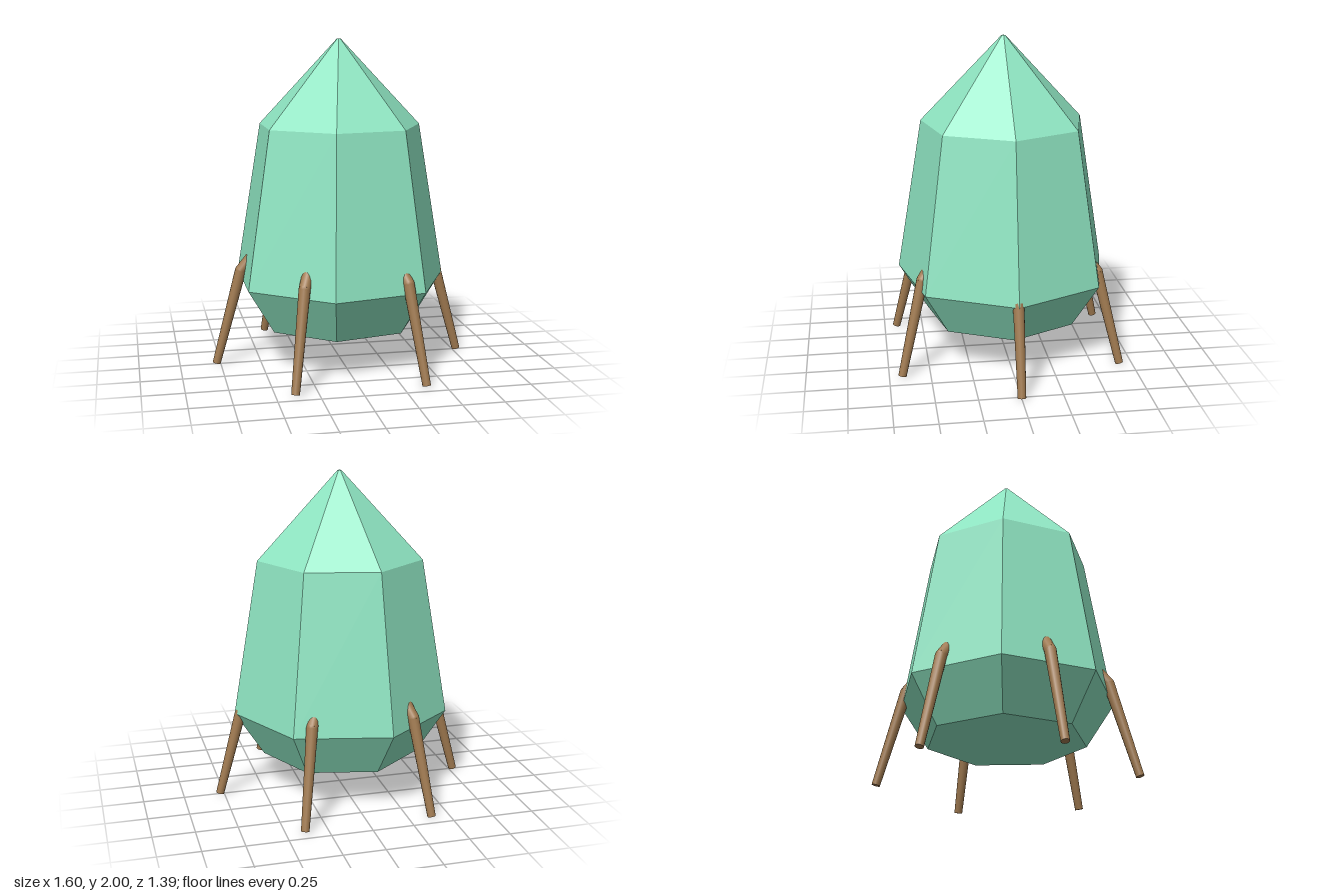
import * as THREE from 'three';

const mint = new THREE.MeshStandardMaterial({ color: 0x8ee4c1, flatShading: true });
const wood = new THREE.MeshStandardMaterial({ color: 0xa07a50 });

// Seven-sided frustum with a corner on +x
function frustum(name, y0, r0, y1, r1, open) {
  const geo = new THREE.CylinderGeometry(r1, r0, y1 - y0, 7, 1, open, Math.PI / 2);
  const mesh = new THREE.Mesh(geo, mint);
  mesh.name = name;
  mesh.position.y = (y0 + y1) / 2;
  return mesh;
}

// Tapered round rod between two points
function rod(name, a, b, ra, rb) {
  const dir = b.clone().sub(a);
  const mesh = new THREE.Mesh(new THREE.CylinderGeometry(rb, ra, dir.length(), 14), wood);
  mesh.name = name;
  mesh.position.copy(a).add(b).multiplyScalar(0.5);
  mesh.quaternion.setFromUnitVectors(new THREE.Vector3(0, 1, 0), dir.normalize());
  return mesh;
}

export function createModel() {
  const model = new THREE.Group();
  model.name = 'leggedPod';

  // Faceted hull
  const hull = new THREE.Group();
  hull.name = 'hull';
  hull.add(
    frustum('base', 0.245, 0.49, 0.525, 0.67, false),
    frustum('body', 0.525, 0.67, 1.475, 0.51, true),
    frustum('roof', 1.475, 0.51, 2, 0.012, false),
  );
  model.add(hull);

  // Six splayed legs, bent inward at the top to enter the hull
  const foot = new THREE.Vector3(0.775, 0.008, 0);
  const knee = new THREE.Vector3(0.617, 0.59, 0);
  const root = new THREE.Vector3(0.49, 0.745, 0);
  for (let i = 0; i < 6; i++) {
    const leg = new THREE.Group();
    leg.name = `leg${i + 1}`;
    const joint = new THREE.Mesh(new THREE.SphereGeometry(0.035, 14, 10), wood);
    joint.name = 'legJoint';
    joint.position.copy(knee);
    leg.add(
      rod('lowerLeg', foot, knee, 0.025, 0.035),
      joint,
      rod('upperLeg', knee, root, 0.035, 0.035),
    );
    leg.rotation.y = (i * Math.PI) / 3;
    model.add(leg);
  }
  return model;
}
